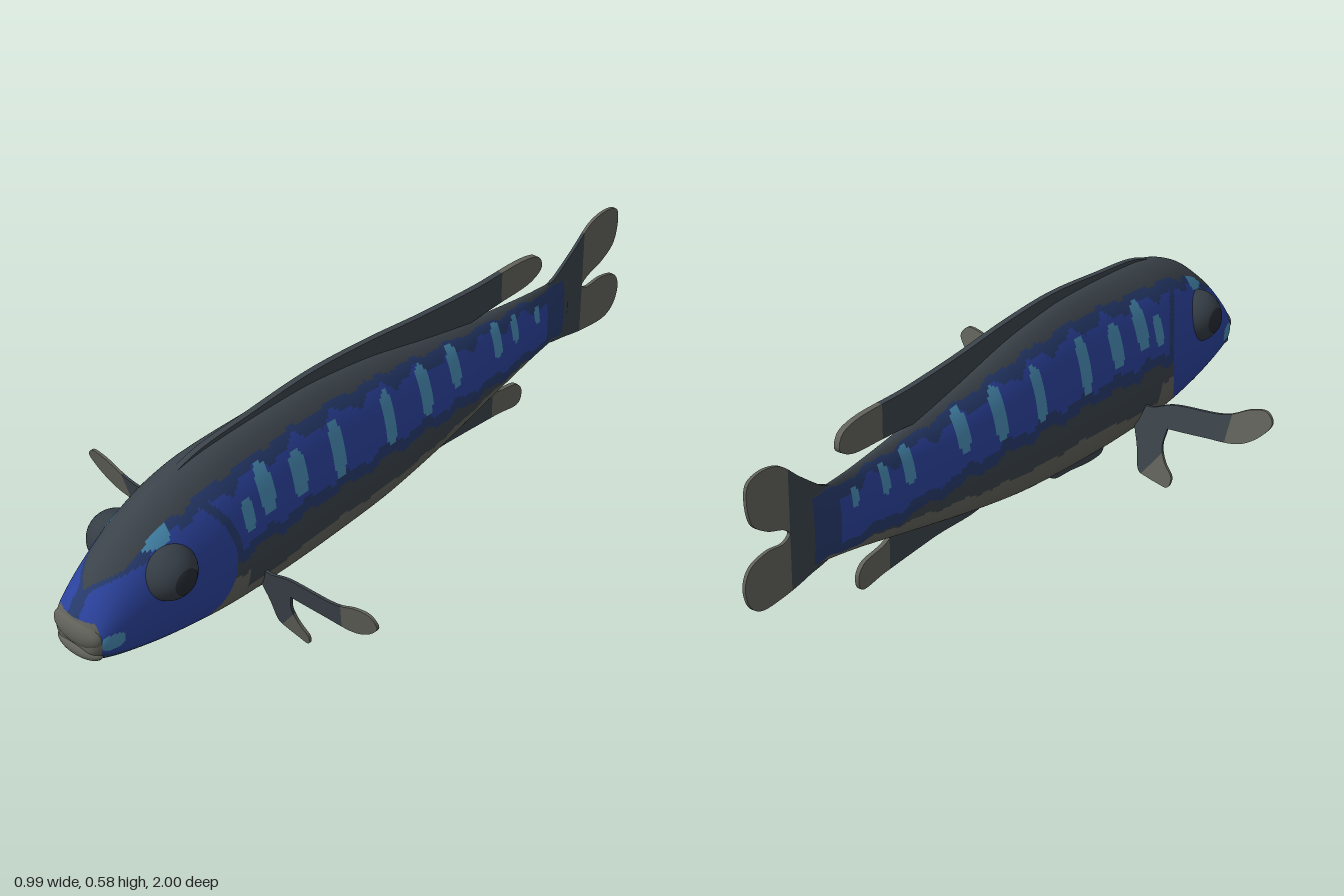
import * as THREE from 'three';

const mat = (name, color) => {
  const m = new THREE.MeshStandardMaterial({ color });
  m.name = name;
  return m;
};

export function createModel() {
  const fish = new THREE.Group();
  fish.name = 'fish';
  const slate = mat('slate', 0x3b434a);
  const navy = mat('navy', 0x263a6c);
  const blue = mat('blue', 0x2b429c);
  const sky = mat('skyBlue', 0x478ab2);
  const belly = mat('bellyGrey', 0x62625b);
  const eyeGrey = mat('eyeGrey', 0x353d45);
  const pupilGrey = mat('pupilGrey', 0x242a31);
  const bodyMats = [slate, navy, blue, sky, belly];
  const [SLATE, NAVY, BLUE, SKY, BELLY] = [0, 1, 2, 3, 4];

  const add = (name, geo, material, parent = fish) => {
    const mesh = new THREE.Mesh(geo, material);
    mesh.name = name;
    parent.add(mesh);
    return mesh;
  };

  // Body stations: z, top, bottom, half width
  const stations = [
    [0.99, 0.26, 0.24, 0.002], [0.985, 0.3, 0.2, 0.06], [0.96, 0.34, 0.178, 0.083],
    [0.9, 0.405, 0.155, 0.097], [0.8, 0.48, 0.132, 0.114], [0.7, 0.525, 0.118, 0.127],
    [0.6, 0.548, 0.108, 0.134], [0.5, 0.557, 0.1, 0.131], [0.35, 0.562, 0.095, 0.122],
    [0.2, 0.56, 0.098, 0.115], [0, 0.535, 0.112, 0.107], [-0.2, 0.49, 0.14, 0.087],
    [-0.4, 0.45, 0.175, 0.059], [-0.6, 0.425, 0.212, 0.034], [-0.72, 0.418, 0.228, 0.017],
    [-0.78, 0.42, 0.23, 0.007],
  ];
  const curve = (k) => new THREE.CatmullRomCurve3(
    stations.map((s) => new THREE.Vector3(s[0], s[k], s[3])), false, 'catmullrom', 0.4);
  const topCurve = curve(1), bottomCurve = curve(2);

  // Pale bars on the flank: z, low, high, half width
  const bars = [
    [0.53, 0.36, 0.44, 0.018], [0.46, 0.37, 0.495, 0.024], [0.35, 0.36, 0.47, 0.026],
    [0.21, 0.335, 0.485, 0.021], [0.02, 0.335, 0.47, 0.021], [-0.13, 0.335, 0.465, 0.023],
    [-0.26, 0.345, 0.455, 0.02], [-0.45, 0.33, 0.425, 0.018], [-0.53, 0.335, 0.41, 0.014],
    [-0.63, 0.34, 0.39, 0.012], [0.79, 0.425, 0.492, 0.045], [0.94, 0.225, 0.268, 0.028],
  ];
  const { lerp, smoothstep } = THREE.MathUtils;

  // Flat colour of the skin at a point
  function skin(x, y, z, top, bottom) {
    const wave = 0.008 * Math.sin(z * 42) + 0.004 * Math.sin(z * 97 + 1);
    const side = Math.abs(x);
    if (z < -0.76) return SLATE;
    if (z > 0.968 && y > 0.185 && y < 0.3) return BELLY;
    for (const [bz, lo, hi, w] of bars) {
      const dy = Math.abs(y - (lo + hi) / 2) / ((hi - lo) / 2);
      const dz = Math.abs(z - bz) / w;
      if (dz ** 3 + dy ** 3 < 1 + wave * 12 && (z < 0.7 || side > 0.06)) return SKY;
    }
    const back = top - lerp(0.012, 0.045, smoothstep(z, -0.6, 0.4)) + wave * 0.5;
    // Dark forehead above a blue snout
    if (z > 0.72) {
      const brow = 0.06 * smoothstep(y, 0.35, 0.41) + 0.03 * smoothstep(y, 0.46, 0.52);
      if (side < brow || y < bottom + 0.022) return SLATE;
      return side < brow + 0.018 || y < bottom + 0.038 ? NAVY : BLUE;
    }
    if (y > back) return SLATE;
    const gill = Math.hypot(z - 0.77, (y - 0.31) * 0.9);
    if (gill < 0.185) {
      if (y < bottom + 0.022) return SLATE;
      return y > back - 0.025 || y < bottom + 0.038 ? NAVY : BLUE;
    }
    const low = lerp(0.265, 0.335, smoothstep(z, -0.7, 0.1)) + wave;
    const bellyTop = z > 0.54 ? 0.25 : lerp(0.235, 0.205, smoothstep(z, -0.6, 0)) - 0.02 * smoothstep(z, 0.2, 0.5);
    if (z < 0.65 && y < bellyTop + wave * 0.5) return BELLY;
    if (y < low - 0.035) return SLATE;
    if (y < low || y > back - 0.028 + wave || z < -0.68 || gill < 0.205) return NAVY;
    return BLUE;
  }

  // Body skin, swept ring by ring
  const rings = 360, sides = 128;
  const pos = [], buckets = bodyMats.map(() => []), limits = [];
  for (let i = 0; i <= rings; i++) {
    const t = topCurve.getPoint(i / rings), b = bottomCurve.getPoint(i / rings);
    const mid = lerp(b.y, t.y, 0.43), w = Math.max(t.z, 0.001);
    limits.push([t.y, b.y]);
    for (let j = 0; j < sides; j++) {
      const a = (j / sides) * Math.PI * 2, c = Math.cos(a), s = Math.sin(a);
      const x = Math.sign(c) * w * Math.abs(c) ** (s > 0 ? 1.15 : 0.72);
      pos.push(x, mid + s * (s > 0 ? t.y - mid : mid - b.y), t.x);
    }
  }
  for (let i = 0; i < rings; i++) for (let j = 0; j < sides; j++) {
    const k = (j + 1) % sides;
    const p = i * sides + j, q = p + sides, r = i * sides + k, u = r + sides;
    const mean = (axis) => (pos[p * 3 + axis] + pos[u * 3 + axis]) / 2;
    buckets[skin(mean(0), mean(1), mean(2), ...limits[i])].push(p, q, r, r, q, u);
  }
  const bodyGeo = new THREE.BufferGeometry();
  bodyGeo.setAttribute('position', new THREE.Float32BufferAttribute(pos, 3));
  bodyGeo.setIndex(buckets.flat());
  let start = 0;
  buckets.forEach((list, m) => {
    bodyGeo.addGroup(start, list.length, m);
    start += list.length;
  });
  bodyGeo.computeVertexNormals();
  add('body', bodyGeo, bodyMats);

  // Lips
  [['upperLip', 0.258, 0.97, 0.079, 0.043], ['lowerLip', 0.207, 0.967, 0.073, 0.024]].forEach(([name, y, z, w, h]) => {
    const lip = add(name, new THREE.SphereGeometry(1, 32, 20), belly);
    lip.scale.set(w, h, 0.03);
    lip.position.set(0, y, z);
  });

  // Eyes with a thin pupil cap
  for (const side of [1, -1]) {
    const eye = new THREE.Group();
    eye.name = side > 0 ? 'leftEye' : 'rightEye';
    eye.position.set(side * 0.087, 0.355, 0.765);
    add('eyeball', new THREE.SphereGeometry(0.072, 32, 24), eyeGrey, eye);
    const pupil = add('pupil', new THREE.SphereGeometry(0.073, 28, 8, 0, Math.PI * 2, 0, 0.5), pupilGrey, eye);
    pupil.rotation.z = -side * Math.PI / 2;
    fish.add(eye);
  }

  // Keep the part of an outline where f >= 0
  const clip = (pts, f) => pts.flatMap((p, i) => {
    const q = pts[(i + 1) % pts.length], a = f(p), b = f(q);
    const out = a >= 0 ? [p] : [];
    if (a * b < 0) out.push(p.clone().lerp(q, a / (a - b)));
    return out;
  });

  // Thin fin with a smooth outline, slate at the base and grey at the tip
  function fin(name, outline, tip, place, depth = 0.01) {
    const group = new THREE.Group();
    group.name = name;
    const pts = new THREE.CatmullRomCurve3(outline.map(([u, v]) => new THREE.Vector3(u, v, 0)), true, 'centripetal')
      .getPoints(outline.length * 6).slice(0, -1).map((p) => new THREE.Vector2(p.x, p.y));
    [['finBase', (p) => -tip(p), slate], ['finTip', tip, belly]].forEach(([part, f, m]) => {
      const shape = clip(pts, f);
      if (shape.length < 3) return;
      const geo = new THREE.ExtrudeGeometry(new THREE.Shape(shape), { depth, bevelEnabled: false });
      geo.translate(0, 0, -depth / 2);
      place(geo);
      add(part, geo, m, group);
    });
    fish.add(group);
  }
  const upright = (g) => g.rotateY(-Math.PI / 2);

  // Fins along the middle, outlines as z, y
  fin('dorsalFin', [[0.7, 0.51], [0.6, 0.553], [0.4, 0.575], [0.2, 0.589], [0, 0.58], [-0.2, 0.56], [-0.4, 0.547],
    [-0.6, 0.543], [-0.65, 0.525], [-0.66, 0.49], [-0.62, 0.465], [-0.5, 0.457], [-0.4, 0.452], [-0.3, 0.44], [0, 0.48], [0.4, 0.5]],
  (p) => -0.5 - p.x, upright, 0.016);
  fin('analFin', [[-0.08, 0.15], [-0.1, 0.118], [-0.3, 0.112], [-0.5, 0.1], [-0.59, 0.094], [-0.6, 0.13],
    [-0.58, 0.158], [-0.5, 0.175], [-0.42, 0.21], [-0.2, 0.18]], (p) => -0.48 - p.x, upright, 0.012);
  fin('tailFin', [[-0.68, 0.4], [-0.73, 0.43], [-0.8, 0.48], [-0.87, 0.533], [-0.94, 0.543], [-0.978, 0.525], [-0.97, 0.43],
    [-0.92, 0.39], [-0.86, 0.368], [-0.84, 0.35], [-0.86, 0.335], [-0.92, 0.338], [-0.98, 0.32], [-1, 0.28],
    [-0.985, 0.225], [-0.95, 0.2], [-0.87, 0.2], [-0.78, 0.215], [-0.68, 0.245]], (p) => -0.84 - p.x, upright, 0.009);

  // Paired fins
  for (const side of [1, -1]) {
    const label = side > 0 ? 'left' : 'right';
    const flip = (pts) => pts.map(([x, y]) => [side * x, y]);
    const lean = (g) => {
      const p = g.attributes.position;
      for (let i = 0; i < p.count; i++) p.setZ(i, p.getZ(i) + 0.435 + 0.22 * p.getY(i));
      g.computeVertexNormals();
    };
    fin(label + 'PectoralFin', flip([[0.09, 0.2], [0.14, 0.205], [0.2, 0.225], [0.36, 0.24], [0.43, 0.27], [0.475, 0.275],
      [0.495, 0.25], [0.47, 0.212], [0.41, 0.175], [0.3, 0.165], [0.2, 0.16], [0.09, 0.155]]),
    (p) => side * p.x - 0.37 - 0.15 * (p.y - 0.2), lean, 0.008);
    fin(label + 'SideFin', flip([[0.09, 0.19], [0.19, 0.18], [0.185, 0.11], [0.2, 0.07], [0.226, 0.035], [0.218, 0.008],
      [0.185, 0.012], [0.15, 0.02], [0.125, 0.03], [0.11, 0.09]]),
    (p) => side * p.x * 1.3 - p.y - 0.15, lean, 0.008);
    // Small belly fins
    fin(label + 'BellyFin', [[0.44, 0.11], [0.43, 0.06], [0.38, 0.052], [0.28, 0.062], [0.2, 0.07], [0.18, 0.09], [0.28, 0.11]],
      (p) => 0.1 - p.x, (g) => upright(g).translate(side * 0.011, 0, 0), 0.008);
  }
  return fish;
}
